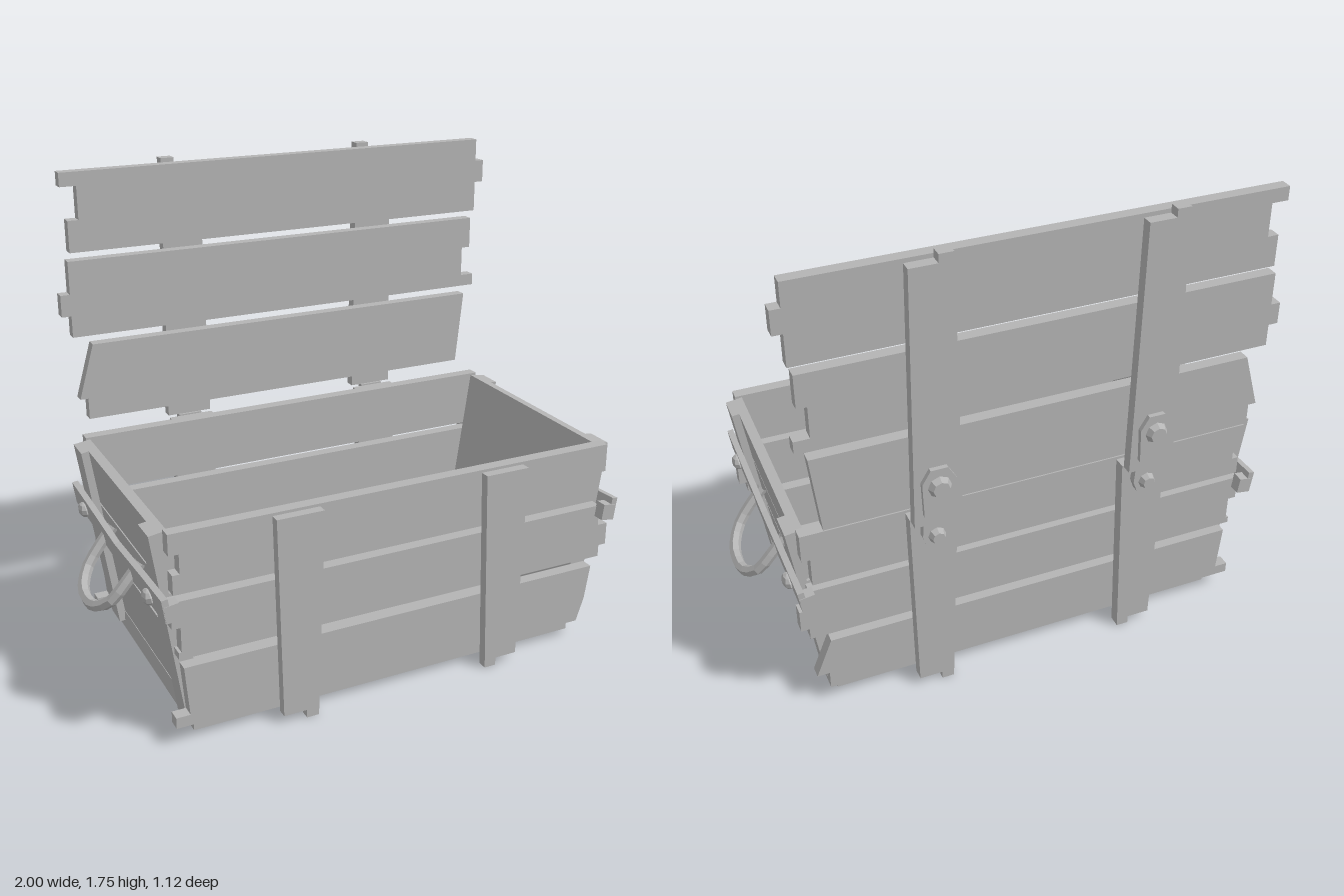
import * as THREE from 'three';

const CZ = 0.045; // depth centre of the box body
const grey = new THREE.MeshStandardMaterial({ color: 0xb4b4b4 });
grey.name = 'grey wood';

export function createModel() {
  const root = new THREE.Group();
  root.name = 'openCrate';

  const add = (name, geo, parent = root) => {
    const m = new THREE.Mesh(geo, grey);
    m.name = name;
    parent.add(m);
    return m;
  };
  const box = (name, x0, x1, y0, y1, z0, z1, parent) =>
    add(name, new THREE.BoxGeometry(x1 - x0, y1 - y0, z1 - z0)
      .translate((x0 + x1) / 2, (y0 + y1) / 2, (z0 + z1) / 2), parent);
  // Outline in x and y, extruded from z0 to z1
  const slab = (pts, z0, z1) =>
    new THREE.ExtrudeGeometry(new THREE.Shape(pts.map(p => new THREE.Vector2(...p))),
      { depth: z1 - z0, bevelEnabled: false }).translate(0, 0, z0);
  const faceted = (geo) => {
    const g = geo.toNonIndexed();
    g.computeVertexNormals();
    return g;
  };

  // Floor
  box('floor', -0.76, 0.75, 0.015, 0.09, -0.38, 0.47);

  // Front and back walls: three planks with broken ends
  const topPlank = [[-0.835, 0.775], [-0.835, 0.7], [-0.80, 0.7], [-0.80, 0.63], [-0.825, 0.63], [-0.825, 0.56],
    [0.815, 0.56], [0.815, 0.67], [0.845, 0.67], [0.845, 0.775]];
  const midPlank = [[-0.835, 0.535], [-0.835, 0.44], [-0.805, 0.44], [-0.805, 0.35], [-0.815, 0.35], [-0.815, 0.325],
    [0.84, 0.325], [0.84, 0.37], [0.87, 0.37], [0.87, 0.455], [0.83, 0.455], [0.83, 0.535]];
  const lowLeft = [[-0.80, 0.29], [-0.785, 0.11], [-0.835, 0.11], [-0.835, 0.07]];
  const frontLow = [...lowLeft, [0.76, 0.07], [0.79, 0.16], [0.81, 0.29]];
  const backLow = [...lowLeft, [0.785, 0.07], [0.785, 0.14], [0.83, 0.14], [0.77, 0.29]];
  for (const [side, z, low] of [['front', 0.47, frontLow], ['back', -0.425, backLow]]) {
    [topPlank, midPlank, low].forEach(p => add(side + 'Plank', slab(p, z, z + 0.045)));
  }

  // Upright straps on both long walls, with a chipped foot on the inner side
  for (const s of [-1, 1]) {
    let pts = [[0.31, 0.765], [0.335, 0], [0.38, 0], [0.38, 0.03], [0.465, 0.03], [0.48, 0.765]]
      .map(([x, y]) => [x * s, y]);
    add('frontStrap', slab(pts, 0.515, 0.55));
    add('backStrap', slab(pts, -0.47, -0.425));
  }

  // Lid planks
  const lid = new THREE.Group();
  lid.name = 'lid';
  root.add(lid);
  [
    [[-0.85, 1.74], [-0.85, 1.69], [-0.79, 1.69], [-0.79, 1.57], [-0.83, 1.57], [-0.83, 1.455],
      [0.84, 1.455], [0.84, 1.57], [0.875, 1.57], [0.875, 1.655], [0.84, 1.655], [0.84, 1.74]],
    [[-0.84, 1.425], [-0.84, 1.305], [-0.875, 1.305], [-0.875, 1.225], [-0.84, 1.225], [-0.84, 1.145],
      [0.845, 1.145], [0.845, 1.19], [0.79, 1.19], [0.79, 1.305], [0.825, 1.305], [0.825, 1.425]],
    [[-0.77, 1.11], [-0.83, 0.905], [-0.80, 0.905], [-0.80, 0.825], [0.775, 0.825], [0.805, 1.11]],
  ].forEach(p => add('lidPlank', slab(p, -0.48, -0.437), lid));

  // Lid straps and hinges
  for (const s of [-1, 1]) {
    const cx = s * 0.395;
    add('lidStrap', slab([[-0.085, 0.77], [0.085, 0.77], [0.075, 1.725], [-0.02, 1.725], [-0.02, 1.755], [-0.07, 1.755]]
      .map(([x, y]) => [x + cx, y]), -0.52, -0.48), lid);

    const hinge = new THREE.Group();
    hinge.name = 'hinge';
    hinge.position.x = cx;
    root.add(hinge);
    add('upperPlate', slab([[-0.055, 0.82], [0.055, 0.82], [0.06, 0.95], [0.03, 1.0], [-0.03, 1.0], [-0.06, 0.95]],
      -0.537, -0.52), hinge);
    add('lowerPlate', slab([[-0.035, 0.66], [0.035, 0.66], [0.05, 0.7], [0.045, 0.77], [-0.045, 0.77], [-0.05, 0.7]],
      -0.497, -0.47), hinge);
    const bolt = (r, y, z, d) => add('hingeBolt',
      faceted(new THREE.CylinderGeometry(r, r * 0.7, d, 8).rotateX(Math.PI / 2)).translate(0, y, z), hinge);
    bolt(0.042, 0.93, -0.547, 0.022);
    bolt(0.032, 0.70, -0.508, 0.024);
  }

  // End walls: built for +x about the depth centre, then turned for -x
  for (const turn of [0, Math.PI]) {
    const end = new THREE.Group();
    end.name = turn ? 'rightEnd' : 'leftEnd';
    end.position.z = CZ;
    end.rotation.y = turn;
    root.add(end);

    const wall = new THREE.Group();
    wall.name = 'slopedWall';
    wall.position.set(0.72, 0.07, 0);
    wall.rotation.z = -0.142;
    end.add(wall);

    box('innerPanel', 0, 0.015, 0, 0.705, -0.425, 0.425, wall);
    for (const [a, b] of [[0.02, 0.275], [0.29, 0.485], [0.495, 0.705]])
      box('endPlank', 0.015, 0.035, a, b, -0.425, 0.425, wall);
    for (const s of [-1, 1]) {
      const z = s * 0.375;
      box('cornerBatten', 0.035, 0.063, -0.015, 0.705, z - 0.05, z + 0.05, wall);
      // Band tip wrapped past the corner
      box('bandTip', 0.03, 0.083, 0.435, 0.495, s * 0.49 - 0.022, s * 0.49 + 0.022, wall);
      add('bandBolt', faceted(new THREE.SphereGeometry(1, 8, 5))
        .scale(0.022, 0.028, 0.036).translate(0.09, 0.467, s * 0.368), wall);
    }

    // Sagging band across the end
    const band = [[-0.51, 0.435], [-0.3, 0.43], [0, 0.41], [0.3, 0.43], [0.51, 0.435],
      [0.51, 0.52], [0.3, 0.51], [0, 0.49], [-0.3, 0.51], [-0.51, 0.52]];
    add('band', slab(band, 0, 0.022).rotateY(-Math.PI / 2).translate(0.085, 0, 0), wall);

    // Drooping carry handle
    const path = new THREE.CatmullRomCurve3([
      [0.83, 0.535, -0.155], [0.88, 0.475, -0.155], [0.935, 0.405, -0.14], [0.972, 0.363, -0.075],
      [0.98, 0.352, 0],
      [0.972, 0.363, 0.075], [0.935, 0.405, 0.14], [0.88, 0.475, 0.155], [0.83, 0.535, 0.155],
    ].map(p => new THREE.Vector3(...p)));
    add('handle', faceted(new THREE.TubeGeometry(path, 16, 0.021, 6)), end);
  }

  return root;
}
